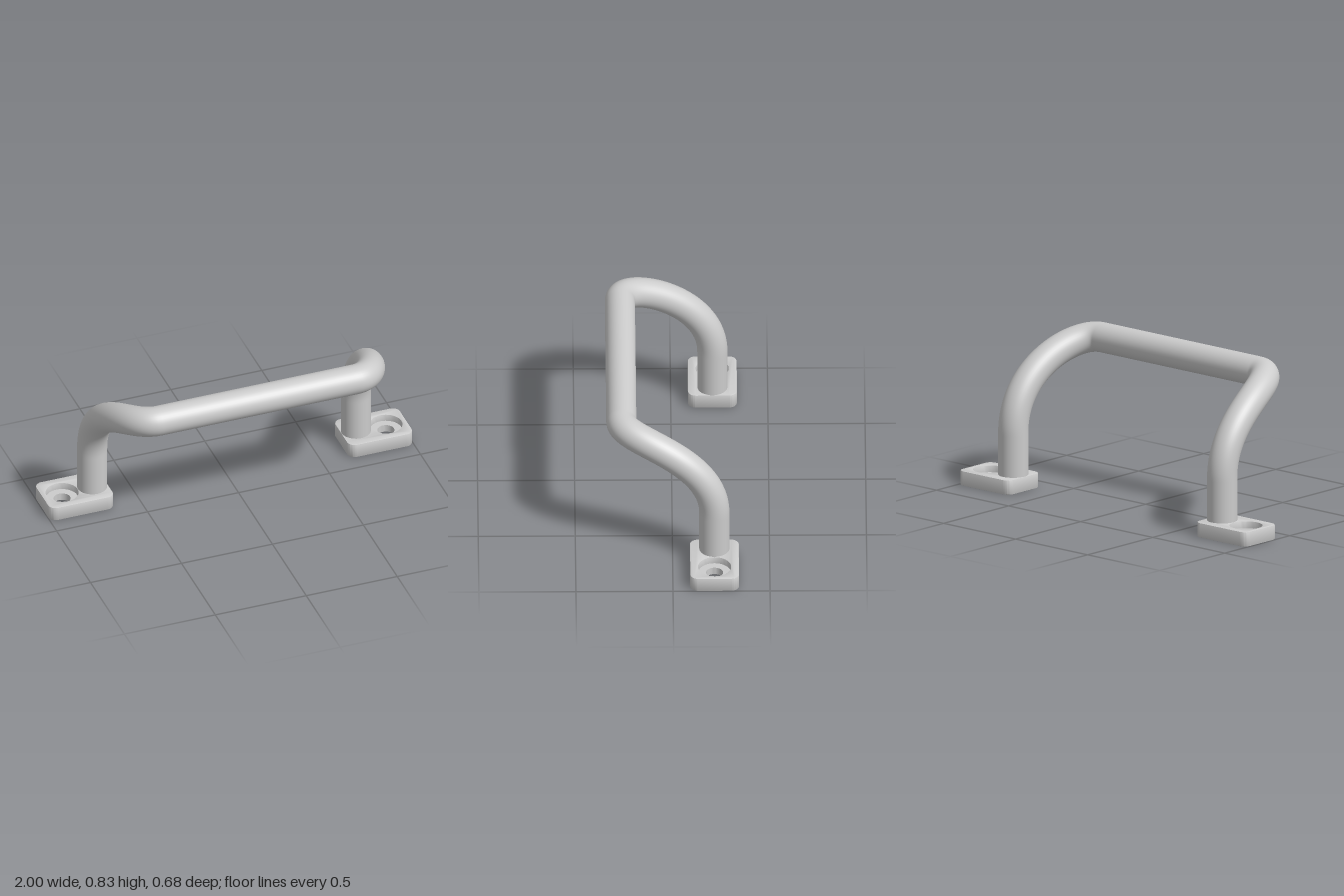
import * as THREE from 'three';
import { toCreasedNormals } from 'three/addons/utils/BufferGeometryUtils.js';

const material = new THREE.MeshStandardMaterial({ color: 0xcccccc });
const legX = 0.725, legZ = -0.215, barY = 0.748, barZ = 0.263, barX = 0.54;
const tubeRadius = 0.078;
const plate = { x: 0.822, halfW: 0.178, halfD: 0.1265, height: 0.078, corner: 0.042, bevel: 0.005 };
const hole = { x: 0.068, radius: 0.044, boreRadius: 0.084, floor: 0.04 };

function addMesh(parent, name, geometry) {
  const mesh = new THREE.Mesh(geometry, material);
  mesh.name = name;
  parent.add(mesh);
  return mesh;
}

// Bent bar: straight leg, swept bend, straight grip, then the mirror image
function handlePath() {
  const v = (x, y, z) => new THREE.Vector3(x, y, z);
  const leg = s => [v(s * legX, 0.04, legZ), v(s * legX, 0.3, legZ)];
  const bend = s => [
    v(s * legX, 0.3, legZ), v(s * legX, 0.65, legZ),
    v(s * legX, barY, barZ), v(s * barX, barY, barZ),
  ];
  const path = new THREE.CurvePath();
  path.add(new THREE.LineCurve3(...leg(-1)));
  path.add(new THREE.CubicBezierCurve3(...bend(-1)));
  path.add(new THREE.LineCurve3(v(-barX, barY, barZ), v(barX, barY, barZ)));
  path.add(new THREE.CubicBezierCurve3(...bend(1).reverse()));
  path.add(new THREE.LineCurve3(...leg(1).reverse()));
  path.arcLengthDivisions = 600;
  return path;
}

// Rounded plate pierced by the wide screw recess
function plateGeometry() {
  const { halfW: w, halfD: d, corner: r, height, bevel } = plate;
  const shape = new THREE.Shape();
  shape.absarc(w - r, d - r, r, 0, Math.PI / 2);
  shape.absarc(-w + r, d - r, r, Math.PI / 2, Math.PI);
  shape.absarc(-w + r, -d + r, r, Math.PI, Math.PI * 1.5);
  shape.absarc(w - r, -d + r, r, Math.PI * 1.5, Math.PI * 2);
  shape.closePath();
  shape.holes.push(new THREE.Path().absarc(hole.x, 0, hole.boreRadius, 0, Math.PI * 2, true));
  const geometry = new THREE.ExtrudeGeometry(shape, {
    depth: height - 2 * bevel, bevelThickness: bevel, bevelSize: bevel,
    bevelOffset: -bevel, bevelSegments: 2, curveSegments: 20,
  });
  geometry.translate(0, 0, bevel).rotateX(-Math.PI / 2);
  return toCreasedNormals(geometry, 0.6);
}

// Recess floor, screw hole wall and underside
function seatGeometry() {
  const profile = [
    [hole.boreRadius + 0.001, hole.floor], [hole.radius, hole.floor],
    [hole.radius, 0], [hole.boreRadius + plate.bevel, 0],
  ].map(p => new THREE.Vector2(...p)).reverse();
  const geometry = toCreasedNormals(new THREE.LatheGeometry(profile, 40), 0.6);
  return geometry.translate(hole.x, 0, 0);
}

export function createModel() {
  const model = new THREE.Group();
  model.name = 'pullHandle';

  addMesh(model, 'handleBar', new THREE.TubeGeometry(handlePath(), 200, tubeRadius, 40, false));

  // Mounting feet
  const plateGeo = plateGeometry();
  const seatGeo = seatGeometry();
  seatGeo.computeBoundingBox();
  const seatMaterial = material.clone();
  seatMaterial.side = THREE.DoubleSide;
  for (const side of [1, -1]) {
    const foot = new THREE.Group();
    foot.name = side > 0 ? 'leftFoot' : 'rightFoot';
    addMesh(foot, 'mountingPlate', plateGeo);
    addMesh(foot, 'screwSeat', seatGeo).material = seatMaterial;
    foot.position.set(side * plate.x, 0, legZ);
    if (side < 0) foot.rotation.y = Math.PI;
    model.add(foot);
  }
  return model;
}
